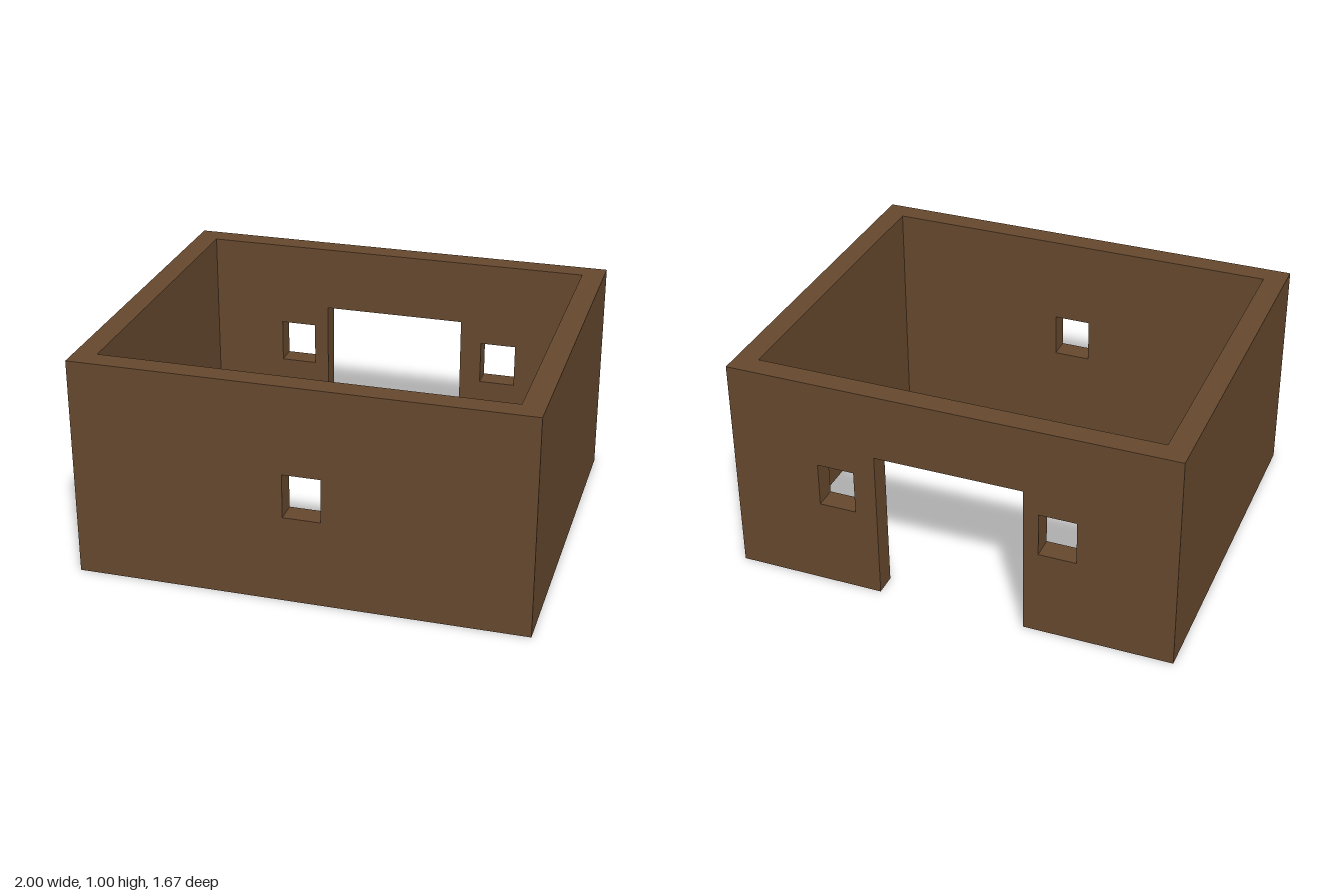
import * as THREE from 'three';

const W = 1, D = 0.833, H = 1, T = 0.1; // half width, half depth, height, wall thickness

// Closed rectangular path used for window openings
function rectHole(x0, x1, y0, y1) {
  return new THREE.Path([[x0, y0], [x0, y1], [x1, y1], [x1, y0]].map(([x, y]) => new THREE.Vector2(x, y)));
}

// Long wall from an outline and window left edges
function longWall(name, outline, windows, z, material) {
  const shape = new THREE.Shape(outline.map(([x, y]) => new THREE.Vector2(x, y)));
  for (const x of windows) shape.holes.push(rectHole(x, x + 0.167, 0.4, 0.6));
  const mesh = new THREE.Mesh(new THREE.ExtrudeGeometry(shape, { depth: T, bevelEnabled: false }), material);
  mesh.name = name;
  mesh.position.z = z;
  return mesh;
}

export function createModel() {
  const group = new THREE.Group();
  group.name = 'walledHouse';
  const brown = new THREE.MeshStandardMaterial({ color: 0x65482e });
  brown.name = 'brown';

  // Front wall with one window
  group.add(longWall('frontWall', [[-W, 0], [W, 0], [W, H], [-W, H]], [-0.067], D - T, brown));

  // Back wall with a doorway and a window on each side of it
  const d = 0.333, doorTop = 0.7;
  group.add(longWall('backWall',
    [[-W, 0], [-d, 0], [-d, doorTop], [d, doorTop], [d, 0], [W, 0], [W, H], [-W, H]],
    [-0.567, 0.433], -D, brown));

  // Plain side walls fitted between the long walls
  for (const side of [-1, 1]) {
    const wall = new THREE.Mesh(new THREE.BoxGeometry(T, H, 2 * (D - T)), brown);
    wall.name = side > 0 ? 'leftWall' : 'rightWall';
    wall.position.set(side * (W - T / 2), H / 2, 0);
    group.add(wall);
  }
  return group;
}
